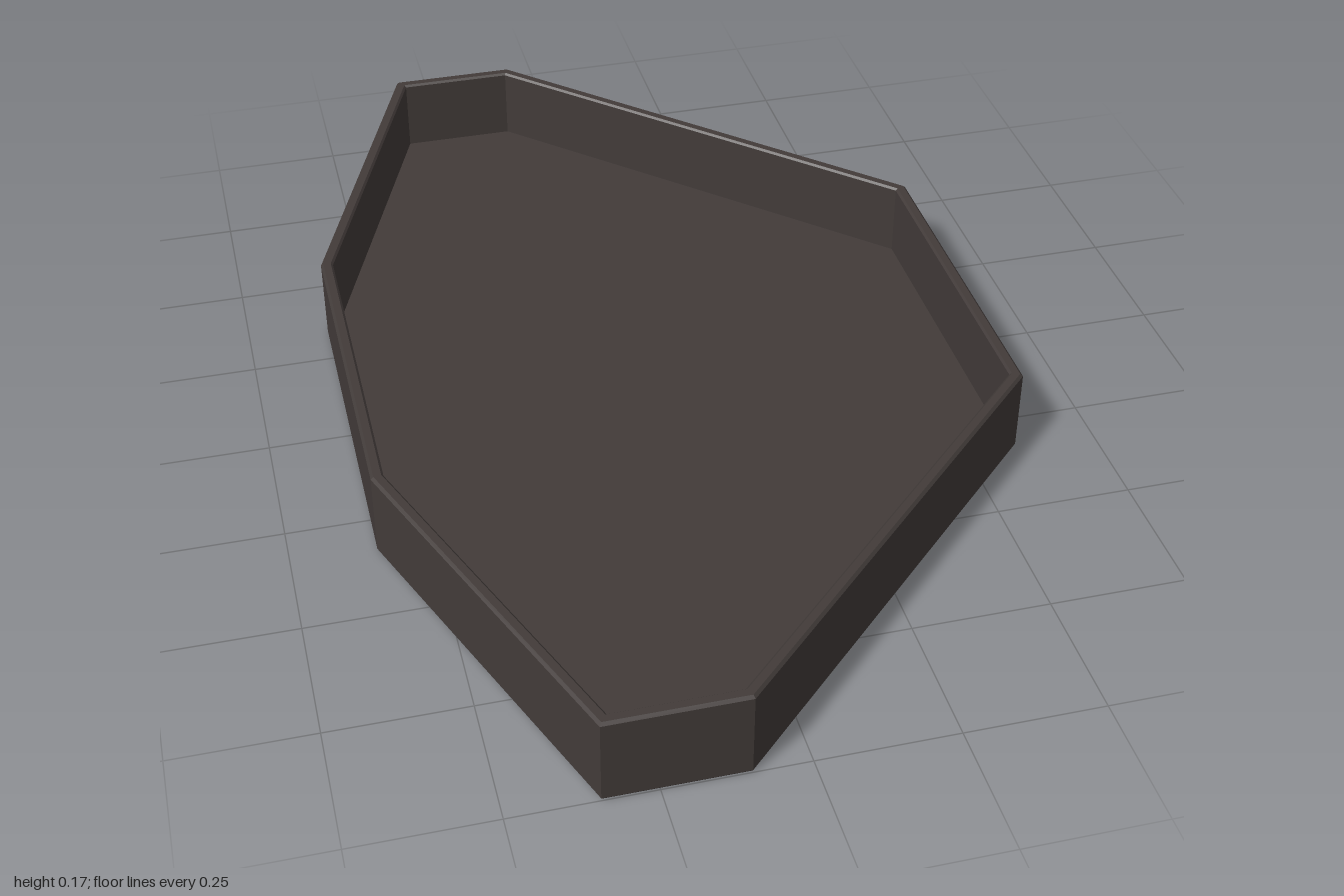
import * as THREE from 'three';

// Tray plan as [x, z], running counter-clockwise seen from above
const OUTLINE = [
  [-0.345, -1], [-0.597, -0.335], [-0.597, 0.335], [-0.345, 1],
  [-0.1, 1], [0.597, 0.33], [0.597, -0.33], [-0.1, -1],
];

// Outline moved inwards by d with mitred corners, at height y
function ring(d, y) {
  const n = OUTLINE.length;
  const normal = (a, b) => {
    const dx = b[0] - a[0], dz = b[1] - a[1], l = Math.hypot(dx, dz);
    return [dz / l, -dx / l];
  };
  return OUTLINE.map((p, i) => {
    const u = normal(OUTLINE[(i + n - 1) % n], p);
    const v = normal(p, OUTLINE[(i + 1) % n]);
    const k = d / (1 + u[0] * v[0] + u[1] * v[1]);
    return [p[0] + (u[0] + v[0]) * k, y, p[1] + (u[1] + v[1]) * k];
  });
}

function facets(triangles) {
  const g = new THREE.BufferGeometry();
  g.setAttribute('position', new THREE.Float32BufferAttribute(triangles.flat(2), 3));
  g.computeVertexNormals();
  return g;
}

// Band of faces through a list of [inset, height] steps
function band(steps) {
  const tris = [];
  for (let s = 0; s < steps.length - 1; s++) {
    const a = ring(...steps[s]), b = ring(...steps[s + 1]);
    a.forEach((p, i) => {
      const j = (i + 1) % a.length;
      tris.push([p, a[j], b[j]], [p, b[j], b[i]]);
    });
  }
  return facets(tris);
}

// Flat cap across one ring
function cap(inset, y, up) {
  const r = ring(inset, y);
  return facets(r.map((p, i) => {
    const q = r[(i + 1) % r.length];
    return up ? [[0, y, 0], p, q] : [[0, y, 0], q, p];
  }));
}

export function createModel() {
  const group = new THREE.Group();
  group.name = 'tray';
  const darkBrown = new THREE.MeshStandardMaterial({ color: 0x423b39 });
  darkBrown.name = 'darkBrown';
  const add = (name, geometry) => {
    const mesh = new THREE.Mesh(geometry, darkBrown);
    mesh.name = name;
    group.add(mesh);
  };

  add('outerWall', band([[0.004, 0], [0, 0.005], [0, 0.162]]));
  add('rim', band([[0, 0.162], [0.005, 0.167], [0.019, 0.167], [0.023, 0.163]]));
  add('innerWall', band([[0.023, 0.163], [0.023, 0.02]]));
  add('floor', cap(0.023, 0.02, true));
  add('underside', cap(0.004, 0, false));
  return group;
}
